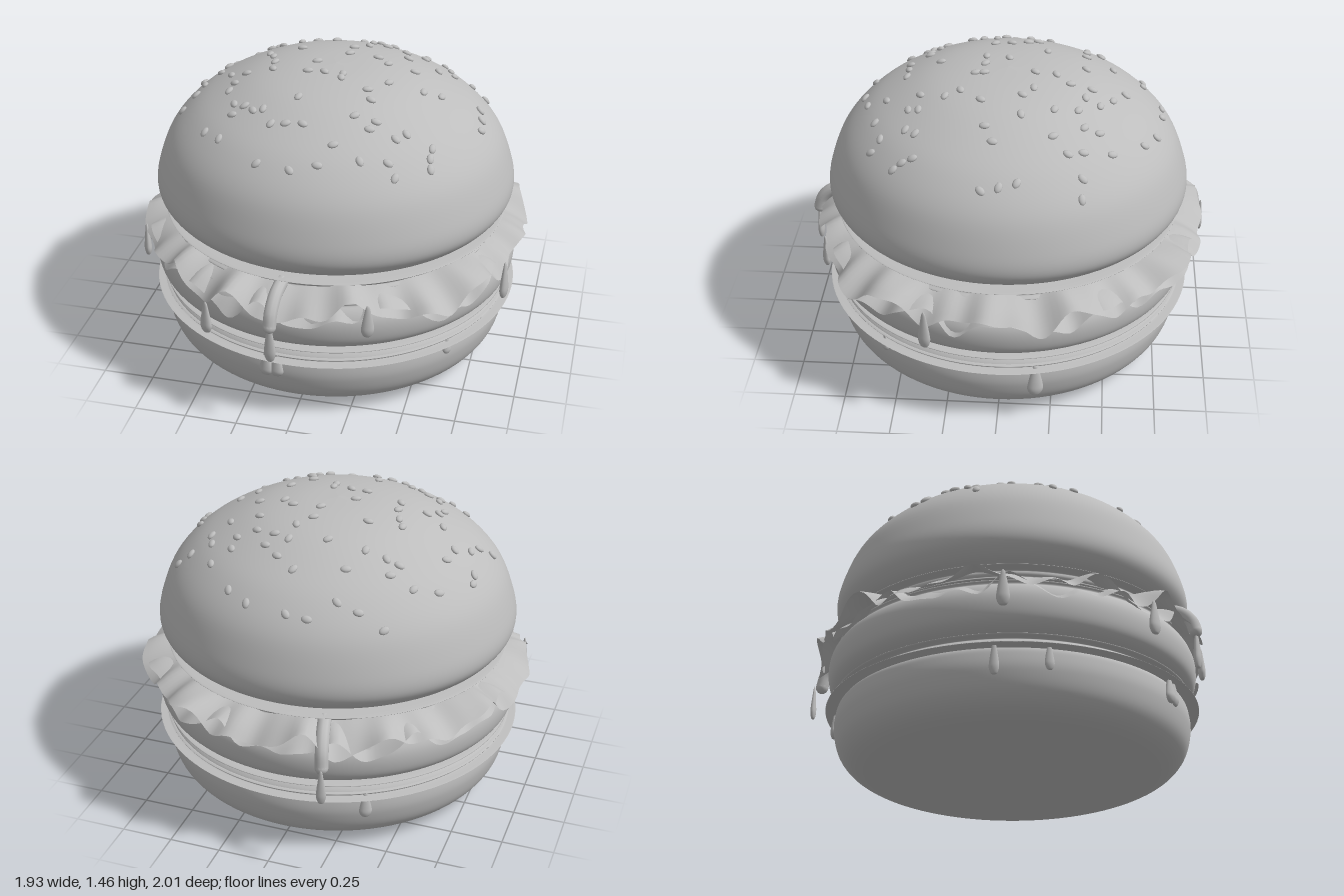
import * as THREE from 'three';
import { mergeVertices } from 'three/addons/utils/BufferGeometryUtils.js';

const clay = new THREE.MeshStandardMaterial({ color: 0xbdbdbd, side: THREE.DoubleSide });
clay.name = 'plain grey';

// Profiles as [radius, height], bottom to top
const PROFILES = {
  bottomBun: [[0, 0], [0.5, 0], [0.66, 0.01], [0.77, 0.045], [0.835, 0.11], [0.862, 0.2], [0.86, 0.27], [0.845, 0.31], [0.8, 0.335], [0, 0.34]],
  sauceLayer: [[0, 0.31], [0.84, 0.308], [0.862, 0.314], [0.858, 0.332], [0.835, 0.355], [0.8, 0.375], [0, 0.38]],
  patty: [[0, 0.375], [0.74, 0.375], [0.83, 0.385], [0.885, 0.425], [0.903, 0.49], [0.895, 0.56], [0.855, 0.615], [0.78, 0.64], [0, 0.645]],
  onionSlice: [[0, 0.66], [0.74, 0.66], [0.795, 0.685], [0.8, 0.71], [0.78, 0.728], [0, 0.73]],
  topBun: [[0, 0.74], [0.7, 0.74], [0.8, 0.752], [0.858, 0.8], [0.88, 0.86], [0.865, 0.95], [0.81, 1.09], [0.72, 1.2], [0.6, 1.29], [0.4, 1.385], [0.2, 1.43], [0, 1.442]],
};

const spline = pts => new THREE.SplineCurve(pts.map(p => new THREE.Vector2(...p))).getPoints(60)
  .map(p => p.setX(Math.max(p.x, 0)));

function add(parent, name, geometry) {
  const mesh = new THREE.Mesh(geometry, clay);
  mesh.name = name;
  parent.add(mesh);
  return mesh;
}

// Seeds: each row is a depth z and the x positions along it, in hundredths
const SEED_ROWS = [
  [-74, [-11, -1]], [-71, [19]], [-65, [-44, -32, -22, 30]], [-56, [2]], [-50, [-21, 12, 45]],
  [-44, [-51, -40, 20, 37]], [-40, [10]], [-37, [-61, -42, -36, -26, -8, 18, 37, 50, 61, 68]],
  [-34, [28]], [-30, [10, 53]], [-23, [4, 31, 46]], [-18, [-72, -59, -21]], [-13, [-71, -36, 4, 18]],
  [-8, [-60, -33, 24, 37, 69]], [0, [-66, -30, -9, 71]], [4, [-51, 52]], [8, [-68, -42, -29, 44, 72]],
  [11, [-11, -3, 6, 28]], [15, [-73, -46, 6]], [21, [-47, 20]], [28, [23]], [33, [-41, -10]],
  [36, [-35]], [40, [-40, -30, -25, 18, 28, 42, 54]], [45, [-52, 26, 38, 54]], [49, [-19, -12, -4, 55]],
  [52, [-43]], [57, [12, 37]], [61, [25, 41]], [67, [-21, 7]], [70, [-5]],
];

function addSeeds(parent) {
  const seeds = new THREE.Group();
  seeds.name = 'sesameSeeds';
  parent.add(seeds);
  const dome = spline(PROFILES.topBun).filter(p => p.y > 0.9);
  const shape = new THREE.SphereGeometry(1, 12, 8);
  const up = new THREE.Vector3(0, 1, 0);
  let n = 0;
  for (const [z, xs] of SEED_ROWS) for (const x of xs) {
    const px = x / 100, pz = z / 100, r = Math.hypot(px, pz);
    const i = Math.max(1, dome.findIndex(p => p.x <= r));
    const a = dome[i - 1], b = dome[i];
    const y = a.y + (b.y - a.y) * (a.x - r) / (a.x - b.x);
    const normal = new THREE.Vector3(px / r * (b.y - a.y), a.x - b.x, pz / r * (b.y - a.y)).normalize();
    const seed = add(seeds, 'seed', shape);
    seed.scale.set(0.026, 0.012, 0.018);
    seed.position.set(px, y, pz).addScaledVector(normal, 0.004);
    seed.quaternion.setFromUnitVectors(up, normal);
    seed.rotateY(n++ * 2.4);
  }
}

// Lettuce rim radius every 15 degrees, from +x round through the front
const RIM = [0.95, 0.93, 0.97, 1.0, 0.94, 0.93, 0.96, 0.97, 0.95, 0.93, 0.94, 0.95,
  0.96, 0.95, 0.96, 0.95, 0.96, 0.97, 0.96, 0.97, 1.0, 0.94, 0.97, 0.96];

function rimRadius(angle) {
  const u = ((angle / (2 * Math.PI)) % 1 + 1) % 1 * RIM.length;
  const i = Math.floor(u) % RIM.length;
  const s = THREE.MathUtils.smoothstep(u - Math.floor(u), 0, 1);
  return THREE.MathUtils.lerp(RIM[i], RIM[(i + 1) % RIM.length], s);
}

// A ruffled sheet: the waves grow towards the rim
function lettuce(phase, shrink, lift) {
  let g = new THREE.RingGeometry(0.5, 1, 240, 14).rotateX(-Math.PI / 2);
  g.deleteAttribute('uv');
  g.deleteAttribute('normal');
  g = mergeVertices(g);
  const p = g.attributes.position;
  for (let i = 0; i < p.count; i++) {
    const angle = Math.atan2(p.getZ(i), p.getX(i));
    const t = (Math.hypot(p.getX(i), p.getZ(i)) - 0.5) * 2;
    const wave = 0.04 * Math.sin(11 * angle + phase + Math.sin(3 * angle))
      + 0.022 * Math.sin(19 * angle + 2 * phase + 2 * t) + 0.012 * Math.sin(31 * angle - phase);
    const ripple = 0.012 * Math.sin(23 * angle + phase);
    const rim = rimRadius(angle) - shrink;
    const r = 0.6 + (rim - 0.6) * t + ripple * t * t;
    const back = 0.025 * Math.max(0, -Math.sin(angle));
    p.setXYZ(i, r * Math.cos(angle), 0.685 + lift + (wave + back) * t * t - 0.095 * t ** 3, r * Math.sin(angle));
  }
  g.computeVertexNormals();
  return g;
}

// Teardrops as [x, z, bottom, top, width]
const SAUCE_DRIPS = [
  [-0.41, 0.89, 0.42, 0.59, 0.062], [-0.08, 0.98, 0.37, 0.58, 0.055], [0.35, 0.87, 0.5, 0.67, 0.06],
  [0.9, 0.33, 0.45, 0.65, 0.06], [-0.88, 0.36, 0.46, 0.64, 0.06], [-0.26, -0.985, 0.38, 0.56, 0.045],
];
const BUN_DRIPS = [
  [-0.82, 0.29, 0.17, 0.335, 0.045], [-0.7, 0.5, 0.2, 0.33, 0.045], [-0.135, 0.855, 0.2, 0.33, 0.07],
  [-0.085, 0.855, 0.2, 0.33, 0.07], [0.67, 0.55, 0.24, 0.33, 0.045], [0.85, -0.18, 0.15, 0.33, 0.075],
  [-0.4, -0.765, 0.19, 0.33, 0.06],
];

function addDrips(parent, name, list) {
  const drop = new THREE.LatheGeometry(spline([[0, 0], [0.3, 0.04], [0.5, 0.2], [0.46, 0.4], [0.27, 0.75], [0.15, 0.93], [0, 1]]), 16);
  for (const [x, z, bottom, top, width] of list) {
    const mesh = add(parent, name, drop);
    mesh.position.set(x, bottom, z);
    mesh.scale.set(width, top - bottom, width * 0.6);
    mesh.rotation.y = Math.atan2(x, z);
  }
}

// Thick run of sauce from under the top bun to a drip at the lettuce rim
function addStrand(parent, x, z, height) {
  const dir = new THREE.Vector3(x, 0, z).normalize();
  const points = [[0.8, 0.7], [0.9, 0.675], [0.96, 0.62], [0.98, height]]
    .map(([r, y]) => new THREE.Vector3(dir.x * r, y, dir.z * r));
  const radius = 0.032;
  add(parent, 'sauceStrand', new THREE.TubeGeometry(new THREE.CatmullRomCurve3(points), 16, radius, 10));
  add(parent, 'sauceStrandEnd', new THREE.SphereGeometry(radius, 12, 8)).position.copy(points[3]);
}

export function createModel() {
  const burger = new THREE.Group();
  burger.name = 'burger';

  // Stacked round layers
  for (const [name, pts] of Object.entries(PROFILES))
    add(burger, name, new THREE.LatheGeometry(spline(pts), 96));

  // Two ruffled leaves
  add(burger, 'lettuceUpper', lettuce(0.6, 0, 0.02));
  add(burger, 'lettuceLower', lettuce(2.3, 0.025, -0.015));

  // Sauce
  addDrips(burger, 'sauceDrip', SAUCE_DRIPS);
  addDrips(burger, 'bunDrip', BUN_DRIPS);
  addStrand(burger, -0.08, 0.98, 0.56);
  addStrand(burger, -0.26, -0.985, 0.55);

  addSeeds(burger);
  return burger;
}
